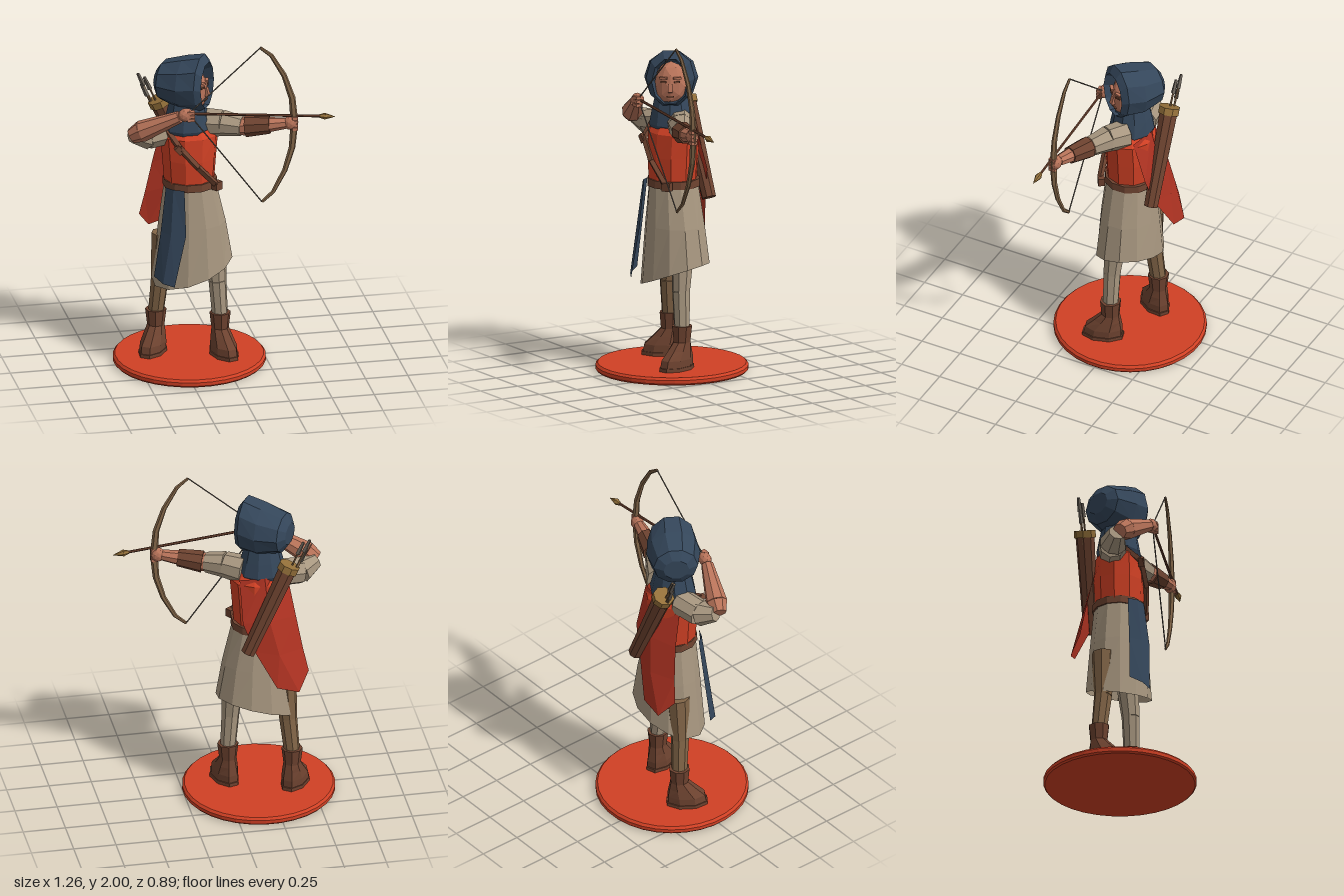
import * as THREE from 'three';

const V = (x, y, z) => new THREE.Vector3(x, y, z);
const mat = (name, color, side = THREE.FrontSide) =>
  new THREE.MeshStandardMaterial({ name, color, flatShading: true, side });

// Flat-shaded geometry from a list of triangle corners
function fromTriangles(points) {
  const g = new THREE.BufferGeometry().setFromPoints(points);
  g.computeVertexNormals();
  return g;
}

// Skin over closed loops of points, with optional end caps
function loft(loops, capStart = true, capEnd = true) {
  const t = [], n = loops[0].length;
  for (let k = 0; k < loops.length - 1; k++)
    for (let i = 0; i < n; i++) {
      const j = (i + 1) % n, a = loops[k], b = loops[k + 1];
      t.push(a[i], a[j], b[j], a[i], b[j], b[i]);
    }
  const first = loops[0], last = loops[loops.length - 1];
  for (let i = 1; i < n - 1; i++) {
    if (capStart) t.push(first[0], first[i + 1], first[i]);
    if (capEnd) t.push(last[0], last[i], last[i + 1]);
  }
  return fromTriangles(t);
}

// Open sheet over rows of points
function sheet(rows) {
  const t = [];
  for (let k = 0; k < rows.length - 1; k++)
    for (let i = 0; i < rows[k].length - 1; i++) {
      const a = rows[k], b = rows[k + 1];
      t.push(a[i], b[i], b[i + 1], a[i], b[i + 1], a[i + 1]);
    }
  return fromTriangles(t);
}

// Loop of n points; fn receives sin and cos of the angle
const loop = (n, fn, start = 0) => Array.from({ length: n }, (_, i) => {
  const a = start + i / n * Math.PI * 2;
  return fn(Math.sin(a), Math.cos(a));
});
const ring = (n, cx, y, cz, rx, rz) => loop(n, (s, c) => V(cx + rx * s, y, cz + rz * c), Math.PI / n);

// Tapered cylinder from a to b
function limb(a, b, ra, rb, n = 8) {
  const d = b.clone().sub(a), g = new THREE.CylinderGeometry(rb, ra, d.length(), n);
  g.applyQuaternion(new THREE.Quaternion().setFromUnitVectors(V(0, 1, 0), d.normalize()));
  const m = a.clone().add(b).multiplyScalar(0.5);
  return g.translate(m.x, m.y, m.z);
}

export function createModel() {
  const model = new THREE.Group();
  const red = mat('red', 0xd04024), cape = mat('capeRed', 0xb03322, THREE.DoubleSide);
  const navy = mat('navy', 0x34465a, THREE.DoubleSide), skin = mat('skin', 0xb9745a);
  const leather = mat('leather', 0x6e4330), wood = mat('wood', 0x836648);
  const gold = mat('gold', 0x94703a), cord = mat('cord', 0x6b635a);
  const cream = mat('cream', 0xa89780, THREE.DoubleSide);
  const add = (name, geo, material, parent = model) => {
    const m = new THREE.Mesh(geo, material);
    m.name = name;
    parent.add(m);
    return m;
  };
  const blob = (name, x, y, z, sx, sy, sz, material, parent) => {
    const m = add(name, new THREE.IcosahedronGeometry(1, 1), material, parent);
    m.position.set(x, y, z);
    m.scale.set(sx, sy, sz);
    return m;
  };
  const box = (name, x, y, z, w, h, d, material, parent) => {
    const m = add(name, new THREE.BoxGeometry(w, h, d), material, parent);
    m.position.set(x, y, z);
    return m;
  };

  // Round base with bevelled edge
  add('base', loft([[0.005, 0.436], [0.015, 0.445], [0.036, 0.445], [0.05, 0.432]]
    .map(([y, r]) => ring(32, -0.19, y, 0, r, r))), red).position.y = -0.003;

  // Legs and boots: foot x, z, turn, hip x, z, trouser material
  for (const [side, x, z, turn, hx, hz, m] of [
    ['left', -0.015, 0.035, 0.3, -0.045, 0.01, cream],
    ['right', -0.37, -0.09, -0.6, -0.33, -0.07, wood]]) {
    add(side + 'Leg', limb(V(x, 0.27, z), V((x + hx) / 2, 0.5, (z + hz) / 2 + 0.01), 0.046, 0.053), m);
    add(side + 'Thigh', limb(V((x + hx) / 2, 0.5, (z + hz) / 2 + 0.01), V(hx, 0.78, hz), 0.053, 0.07), m);
    const boot = new THREE.Group();
    boot.name = side + 'Boot';
    boot.position.set(x, 0, z);
    boot.rotation.y = turn;
    model.add(boot);
    add('sole', loft([ring(8, 0, 0.045, 0.045, 0.075, 0.128), ring(8, 0, 0.068, 0.045, 0.075, 0.128)]), leather, boot);
    add('foot', loft([[0.068, 0.045, 0.07, 0.12], [0.11, 0.04, 0.07, 0.115], [0.16, 0.018, 0.06, 0.082],
      [0.205, 0, 0.05, 0.054], [0.3, 0, 0.062, 0.062]]
      .map(([y, cz, rx, rz]) => ring(8, 0, y, cz, rx, rz))), leather, boot);
  }

  // Skirt with an uneven hem
  const hem = loop(12, (s, c) => V(-0.172 + 0.237 * s, 0.575 + 0.075 * s - 0.035 * c, -0.01 + 0.19 * c), Math.PI / 12);
  add('skirt', loft([hem, ring(12, -0.172, 0.87, -0.01, 0.197, 0.168),
    ring(12, -0.185, 1.13, -0.008, 0.148, 0.143)], false, true), cream);

  // Tunic and belt
  add('tunic', loft([[1.12, 0.148, 0.14], [1.28, 0.16, 0.148], [1.42, 0.172, 0.142], [1.475, 0.13, 0.1]]
    .map(([y, rx, rz]) => ring(10, -0.19, y, -0.005, rx, rz))), red);
  add('belt', loft([ring(12, -0.185, 1.1, -0.008, 0.16, 0.155), ring(12, -0.185, 1.145, -0.008, 0.158, 0.153)]), leather);
  box('beltKnot', -0.05, 1.125, 0.115, 0.05, 0.05, 0.04, leather).rotation.y = 0.6;

  // Hanging sash on the front right hip
  add('sash', sheet([
    [V(-0.345, 1.12, 0.075), V(-0.31, 1.12, 0.125), V(-0.25, 1.12, 0.152)],
    [V(-0.378, 0.85, 0.09), V(-0.33, 0.85, 0.155), V(-0.247, 0.85, 0.185)],
    [V(-0.42, 0.58, 0.1), V(-0.38, 0.555, 0.17), V(-0.318, 0.54, 0.2)]]), navy);

  // Pointed cape down the back
  add('cape', sheet([
    [V(-0.345, 1.45, -0.06), V(-0.2, 1.47, -0.135), V(-0.06, 1.45, -0.09)],
    [V(-0.385, 1.2, -0.13), V(-0.22, 1.21, -0.185), V(-0.065, 1.2, -0.165)],
    [V(-0.42, 1.0, -0.165), V(-0.27, 1.0, -0.225), V(-0.13, 1.02, -0.19)],
    [V(-0.45, 0.86, -0.185), V(-0.38, 0.76, -0.255), V(-0.25, 0.8, -0.255)]]), cape);

  // Chest strap and buckle
  const strap = [V(-0.33, 1.46, 0.04), V(-0.275, 1.385, 0.138), V(-0.17, 1.26, 0.15), V(-0.06, 1.14, 0.125)];
  for (let i = 0; i < 3; i++) add('strap', limb(strap[i], strap[i + 1], 0.019, 0.019, 4), leather);
  box('strapBuckle', -0.28, 1.375, 0.142, 0.05, 0.035, 0.03, leather).rotation.z = -0.85;

  // Head and hood, turned toward the target
  const head = new THREE.Group();
  head.name = 'head';
  head.position.set(-0.2, 0, 0);
  head.rotation.y = 1.0;
  model.add(head);
  blob('face', 0, 1.695, 0.022, 0.1, 0.14, 0.098, skin, head);
  box('nose', 0, 1.695, 0.117, 0.026, 0.05, 0.026, skin, head).rotation.x = -0.3;
  for (const s of [-1, 1]) {
    box('brow', s * 0.04, 1.752, 0.104, 0.045, 0.012, 0.02, skin, head).rotation.y = s * 0.35;
    box('eye', s * 0.04, 1.73, 0.109, 0.034, 0.01, 0.008, leather, head).rotation.y = s * 0.35;
  }
  box('mouth', 0, 1.645, 0.113, 0.045, 0.007, 0.008, leather, head);
  // depth, centre height, half width, half height
  add('hood', loft([[-0.185, 1.735, 0.075, 0.065], [-0.15, 1.735, 0.13, 0.118], [-0.02, 1.735, 0.157, 0.16],
    [0.09, 1.75, 0.142, 0.172], [0.122, 1.735, 0.108, 0.14], [0.05, 1.72, 0.092, 0.125]]
    .map(([u, y, w, h]) => loop(10, (s, c) => V(-w * s, y + h * c, u), Math.PI / 10)), true, false), navy, head);
  add('cowl', loft([[1.425, 0.125, 0.115], [1.465, 0.145, 0.13], [1.55, 0.122, 0.115], [1.64, 0.1, 0.095]]
    .map(([y, rx, rz]) => ring(10, -0.205, y, -0.005, rx, rz))), navy);

  // Drawing arm, folded back at the elbow
  add('rightSleeve', limb(V(-0.3, 1.44, -0.025), V(-0.44, 1.425, 0.005), 0.082, 0.08), cream);
  add('rightCuff', limb(V(-0.44, 1.425, 0.005), V(-0.535, 1.455, 0.05), 0.08, 0.05), cream);
  add('rightElbow', limb(V(-0.545, 1.455, 0.065), V(-0.49, 1.49, 0.09), 0.045, 0.064), skin);
  add('rightForearm', limb(V(-0.49, 1.49, 0.09), V(-0.285, 1.6, 0.185), 0.064, 0.036), skin);
  blob('rightHand', -0.25, 1.613, 0.195, 0.048, 0.042, 0.036, skin);
  for (let i = 0; i < 3; i++)
    box('rightFinger', -0.225, 1.633 - i * 0.022, 0.215, 0.045, 0.017, 0.03, skin);

  // Bow arm
  add('leftSleeve', limb(V(-0.1, 1.475, -0.01), V(0.0, 1.485, 0.05), 0.085, 0.077), cream);
  add('leftCuff', limb(V(0.0, 1.485, 0.05), V(0.1, 1.48, 0.105), 0.077, 0.06), cream);
  add('leftElbow', limb(V(0.08, 1.48, 0.095), V(0.15, 1.482, 0.125), 0.054, 0.055), skin);
  add('leftBracer', limb(V(0.12, 1.482, 0.112), V(0.255, 1.497, 0.16), 0.066, 0.052), leather);
  add('leftForearm', limb(V(0.25, 1.497, 0.158), V(0.345, 1.51, 0.185), 0.044, 0.033), skin);
  blob('leftHand', 0.37, 1.513, 0.19, 0.042, 0.045, 0.036, skin);
  for (let i = 0; i < 4; i++)
    box('leftFinger', 0.392, 1.545 - i * 0.022, 0.198, 0.035, 0.018, 0.04, skin);

  // Bow, lofted along its curve
  const bow = [[0.19, 1.998], [0.255, 1.945], [0.33, 1.815], [0.378, 1.67], [0.392, 1.515],
    [0.378, 1.36], [0.335, 1.22], [0.265, 1.09], [0.2, 1.033]].map(([x, y]) => V(x, y, 0.195));
  add('bow', loft(bow.map((p, i) => {
    const t = bow[Math.min(i + 1, 8)].clone().sub(bow[Math.max(i - 1, 0)]).normalize();
    const w = 0.023 - 0.0035 * Math.abs(i - 4);
    return loop(6, (s, c) => V(p.x - t.y * w * c, p.y + t.x * w * c, p.z + w * 0.8 * s));
  })), wood);
  const nock = V(-0.235, 1.622, 0.2);
  add('upperString', limb(nock, bow[0], 0.004, 0.004, 5), cord);
  add('lowerString', limb(nock, bow[8], 0.004, 0.004, 5), cord);

  // Nocked arrow
  add('arrowShaft', limb(nock, V(0.56, 1.541, 0.198), 0.008, 0.008, 6), leather);
  add('arrowSocket', limb(V(0.54, 1.543, 0.198), V(0.57, 1.54, 0.198), 0.01, 0.02, 6), gold);
  add('arrowHead', limb(V(0.57, 1.54, 0.198), V(0.632, 1.532, 0.198), 0.02, 0.001, 6), gold);

  // Quiver slung across the back, with spare arrows
  const low = V(-0.09, 1.02, -0.19), high = V(-0.34, 1.575, -0.18);
  const along = t => low.clone().lerp(high, t);
  add('quiver', limb(low, along(0.95), 0.043, 0.056), leather);
  add('quiverRim', limb(along(0.93), high, 0.064, 0.064), gold);
  for (const [x, z, y] of [[-0.455, -0.195, 1.735], [-0.42, -0.18, 1.715], [-0.435, -0.19, 1.67]]) {
    const end = V(x, y, z), start = V(x + 0.085, y - 0.19, z + 0.005);
    add('spareArrow', limb(start, end, 0.006, 0.006, 5), wood);
    add('spareFletching', limb(start.clone().lerp(end, 0.6), end, 0.014, 0.009, 4), cord);
  }
  return model;
}
